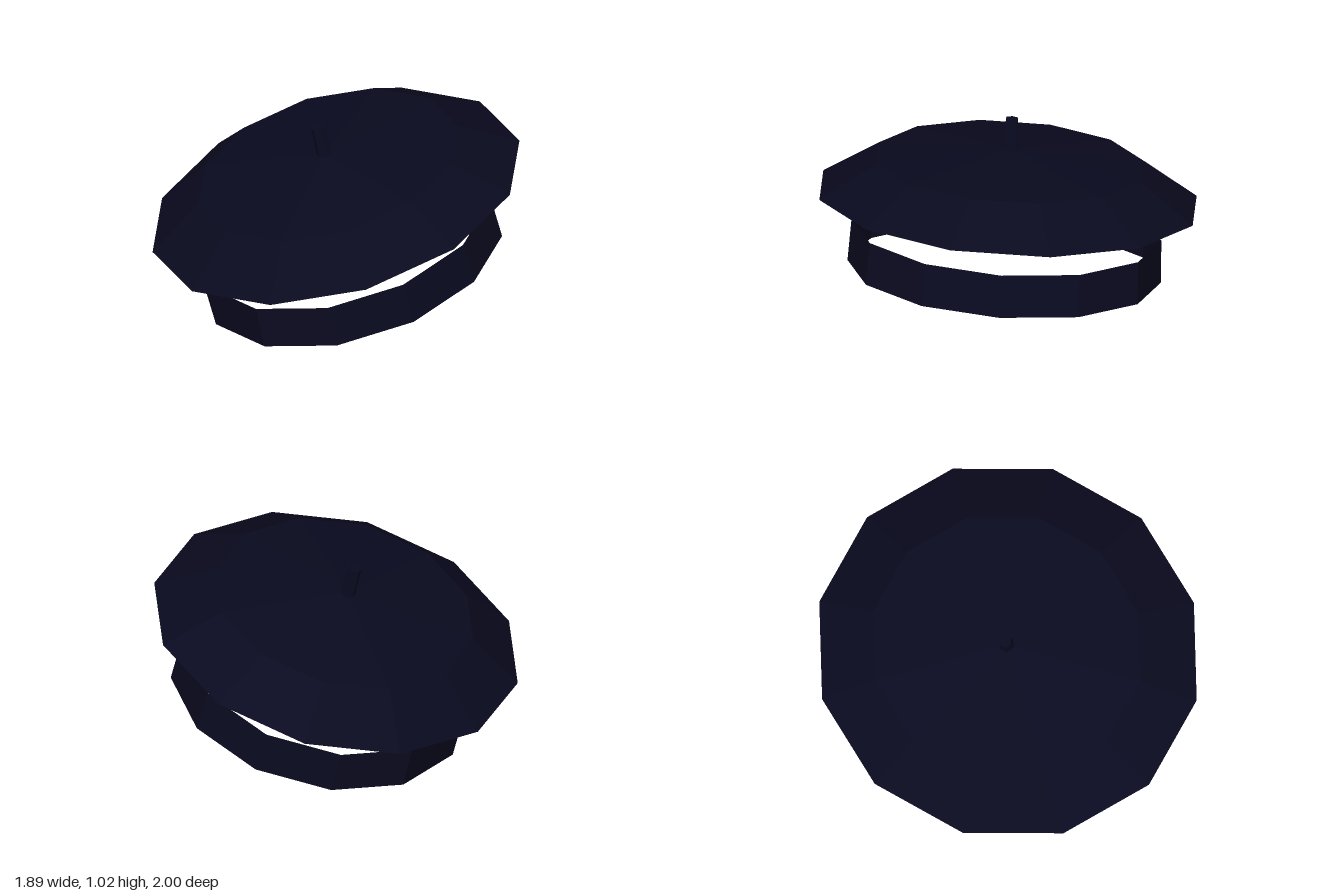
import * as THREE from 'three';

export function createModel() {
  const navy = new THREE.MeshStandardMaterial({ color: 0x0a0a20, flatShading: true, side: THREE.DoubleSide });
  navy.name = 'dark navy felt';

  // The whole cap sits tilted; the origin of this group is the centre of the rim
  const cap = new THREE.Group();
  cap.name = 'tiltedCap';
  cap.position.set(0, 0.58, 0);
  cap.rotation.set(THREE.MathUtils.degToRad(4.9), 0, THREE.MathUtils.degToRad(12.2), 'ZYX');

  const add = (name, geometry, y = 0) => {
    const mesh = new THREE.Mesh(geometry, navy);
    mesh.name = name;
    mesh.position.y = y;
    cap.add(mesh);
  };

  // Crown: open twelve-sided dome with steep sides and a shallow pointed top
  const profile = [[1, 0], [0.707, 0.201], [0, 0.28]].map(([r, y]) => new THREE.Vector2(r, y));
  add('crown', new THREE.LatheGeometry(profile, 12, Math.PI / 12).scale(0.998, 1, 1.04));

  // Head band: thin open ring hanging below the crown
  add('headBand', new THREE.CylinderGeometry(0.79, 0.8, 0.232, 12, 1, true).scale(1, 1, 1.06), -0.293);

  // Stem rising from the tip of the crown
  add('stem', new THREE.CylinderGeometry(0.036, 0.043, 0.187, 6), 0.3515);

  const model = new THREE.Group();
  model.name = 'beret';
  model.add(cap);
  return model;
}
